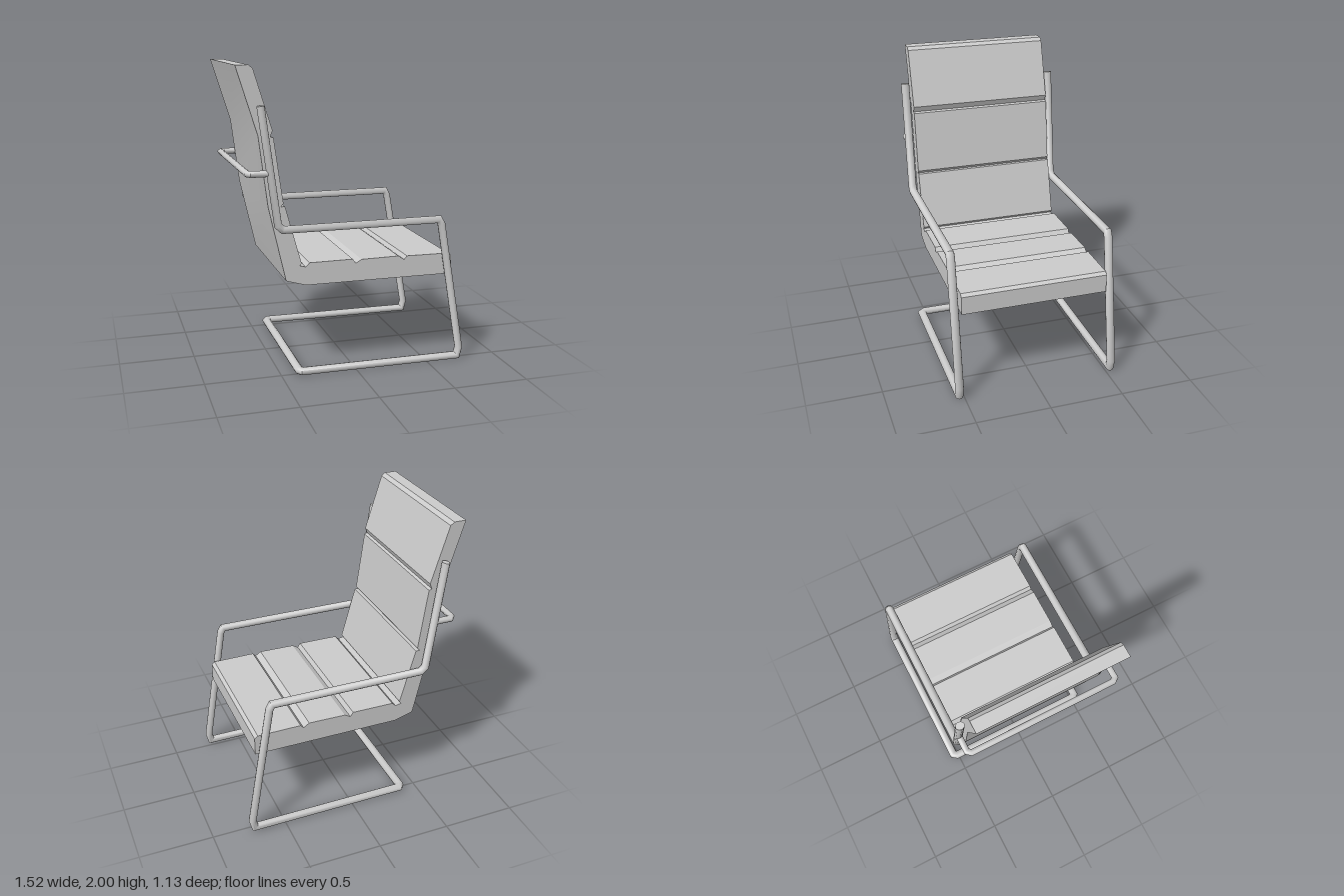
import * as THREE from 'three';
import { toCreasedNormals } from 'three/addons/utils/BufferGeometryUtils.js';

const SIDES = 12;

// Sweep an oval ring along a polyline that starts in the xy plane, mitring each corner.
function sweepTube(points, radius, radiusZ) {
  const pts = points.map((p) => new THREE.Vector3(...p));
  const dirs = pts.slice(1).map((p, i) => p.clone().sub(pts[i]).normalize());
  const u = new THREE.Vector3(0, 0, 1);
  const v = dirs[0].clone().cross(u);
  let ring = [];
  for (let j = 0; j < SIDES; j++) {
    const a = (j / SIDES) * Math.PI * 2;
    ring.push(pts[0].clone().addScaledVector(u, Math.cos(a) * radiusZ).addScaledVector(v, Math.sin(a) * radius));
  }
  const pos = [];
  const index = [];
  pts.forEach((p, i) => {
    if (i > 0) {
      // slide the previous ring along its segment onto the mitre plane
      const d = dirs[i - 1];
      const n = d.clone().add(dirs[i] ?? d).normalize();
      ring = ring.map((q) => q.clone().addScaledVector(d, p.clone().sub(q).dot(n) / d.dot(n)));
    }
    ring.forEach((q) => pos.push(q.x, q.y, q.z));
  });
  const last = pts.length - 1;
  const capA = pts.length * SIDES;
  pos.push(...pts[0].toArray(), ...pts[last].toArray());
  for (let j = 0; j < SIDES; j++) {
    const k = (j + 1) % SIDES;
    for (let i = 0; i < last; i++) {
      const a = i * SIDES + j, b = i * SIDES + k;
      index.push(a, b, b + SIDES, a, b + SIDES, a + SIDES);
    }
    index.push(capA, k, j, capA + 1, last * SIDES + j, last * SIDES + k);
  }
  const g = new THREE.BufferGeometry();
  g.setAttribute('position', new THREE.Float32BufferAttribute(pos, 3));
  g.setIndex(index);
  return toCreasedNormals(g, 0.85);
}

// Complete a half path (on +z) with its mirror image on -z.
function mirrored(half) {
  return [...half, ...half.map(([x, y, z]) => [x, y, -z]).reverse()];
}

export function createModel() {
  const group = new THREE.Group();
  const material = new THREE.MeshStandardMaterial({ color: 0xcccccc });
  const add = (name, geometry) => {
    const mesh = new THREE.Mesh(geometry, material);
    mesh.name = name;
    group.add(mesh);
  };

  // Padded seat and back: one side profile with notched seams, extruded across the width
  const profile = [
    [-0.46, 0.635], [-0.33, 0.597], [0.677, 0.597], [0.677, 0.72], [0.655, 0.738],
    [0.36, 0.74], [0.34, 0.717], [0.30, 0.744],
    [0.045, 0.74], [0.005, 0.717], [-0.015, 0.746],
    [-0.305, 0.744], [-0.33, 0.718], [-0.37, 0.728], [-0.358, 0.745],
    [-0.462, 1.12], [-0.488, 1.12], [-0.472, 1.14],
    [-0.53, 1.555], [-0.55, 1.562], [-0.535, 1.60],
    [-0.652, 1.98], [-0.678, 2.0], [-0.76, 2.0],
    [-0.627, 1.57], [-0.57, 1.12],
  ];
  const shape = new THREE.Shape(profile.map(([x, y]) => new THREE.Vector2(x, y)));
  const width = 0.99;
  const cushion = new THREE.ExtrudeGeometry(shape, { depth: width, bevelEnabled: false });
  cushion.translate(0, 0, -width / 2);
  add('cushion', toCreasedNormals(cushion, 0.3));

  // Cantilever frame: back post, armrest, front leg and floor runner in one continuous tube
  const z = 0.534;
  add('frame', sweepTube(mirrored([
    [-0.616, 1.755, z], [-0.517, 1.01, z], [-0.485, 0.98, z],
    [0.565, 0.983, z], [0.583, 0.95, z],
    [0.73, 0.085, z], [0.715, 0.026, z],
    [-0.365, 0.03, z], [-0.383, 0.03, z - 0.024],
  ]), 0.025, 0.029));

  // Bar bridging the two posts behind the back
  add('rearBar', sweepTube(mirrored([
    [-0.56, 1.34, z], [-0.68, 1.34, z], [-0.7, 1.34, z - 0.025],
  ]), 0.021, 0.021));

  return group;
}
